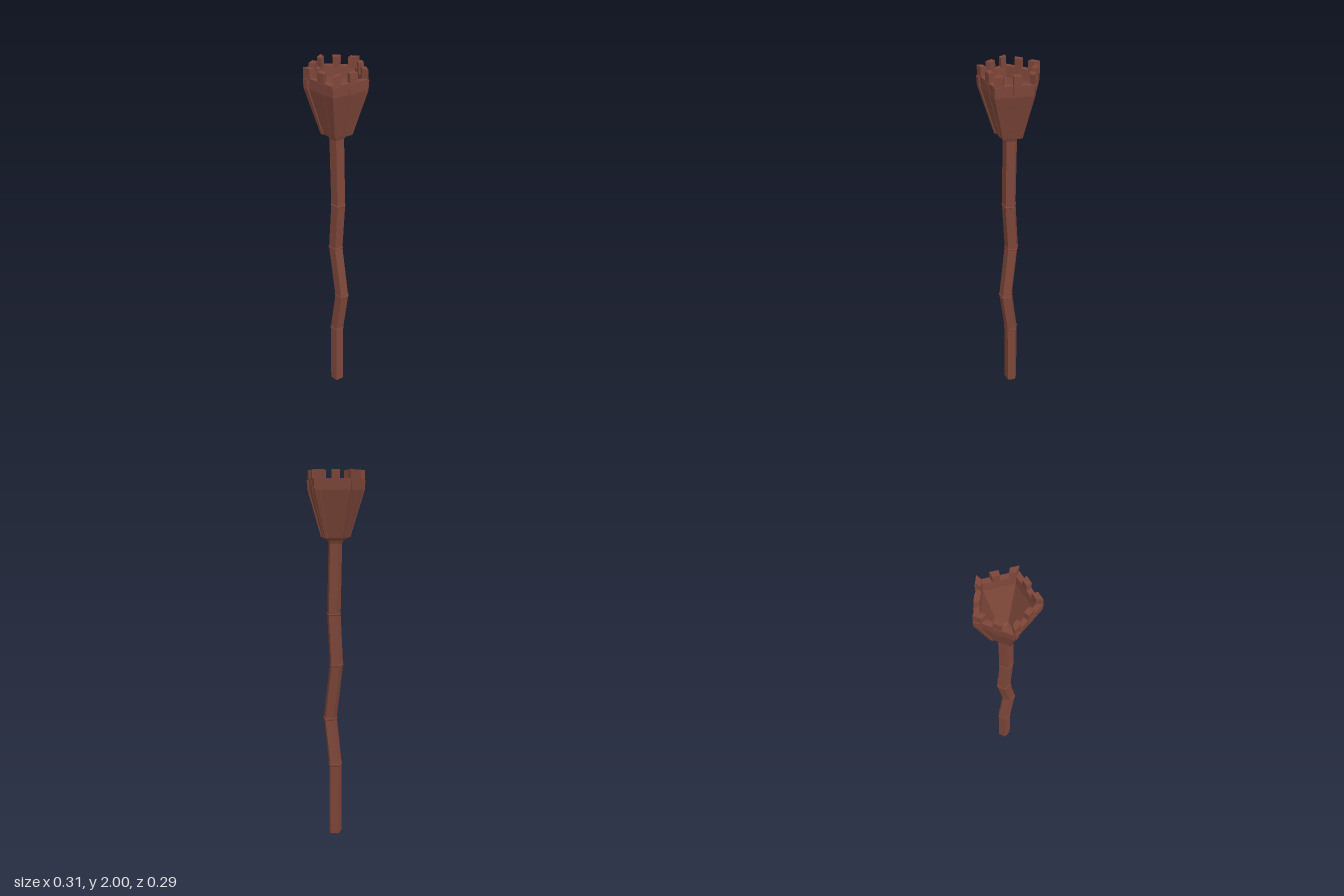
import * as THREE from 'three';

const CZ = 0.012; // centre line of the five-sided body
const SIDES = 5;

// Solid through equal-sized rings of points (bottom to top), capped at both ends
function loft(rings) {
  const n = rings[0].length, pos = [], index = [];
  rings.forEach(r => r.forEach(p => pos.push(...p)));
  for (let j = 0; j < rings.length - 1; j++) {
    for (let i = 0; i < n; i++) {
      const a = j * n + i, b = j * n + (i + 1) % n;
      index.push(a, b, b + n, a, b + n, a + n);
    }
  }
  const top = (rings.length - 1) * n;
  for (let i = 1; i < n - 1; i++) {
    index.push(0, i + 1, i, top, top + i, top + i + 1);
  }
  const g = new THREE.BufferGeometry();
  g.setAttribute('position', new THREE.Float32BufferAttribute(pos, 3));
  g.setIndex(index);
  const flat = g.toNonIndexed();
  flat.computeVertexNormals();
  return flat;
}

// Pentagon corner k, starting at the front right-hand corner and turning toward +x
function corner(k, r, y, x = 0) {
  const a = (-36 + 72 * k) * Math.PI / 180;
  return [x + r * Math.sin(a), y, CZ + r * Math.cos(a)];
}
const pentagon = (x, y, r) => Array.from({ length: SIDES }, (_, k) => corner(k, r, y, x));

// Point at fraction u along side k of a pentagon
function onSide(k, u, r, y) {
  const a = corner(k, r, y), b = corner(k + 1, r, y);
  return a.map((v, i) => v + (b[i] - v) * u);
}

// Slat lying on side k between fractions u0 and u1; levels are [y, outer radius, inner radius]
function slat(k, u0, u1, levels) {
  return loft(levels.map(([y, ro, ri]) => [
    onSide(k, u0, ro, y), onSide(k, u1, ro, y), onSide(k, u1, ri, y), onSide(k, u0, ri, y),
  ]));
}

export function createModel() {
  const wood = new THREE.MeshStandardMaterial({ color: 0x7d4639, flatShading: true });
  wood.name = 'reddish brown wood';
  const model = new THREE.Group();
  model.name = 'torch';
  const add = (parent, name, geometry) => {
    const m = new THREE.Mesh(geometry, wood);
    m.name = name;
    parent.add(m);
    return m;
  };

  // Crooked handle
  const handle = new THREE.Group();
  handle.name = 'handle';
  model.add(handle);
  const bends = [[0, 0], [0, 0.41], [0.037, 0.67], [-0.008, 0.98], [0.01, 1.255], [0, 1.645]];
  add(handle, 'shaft', loft(bends.map(([x, y]) => pentagon(x, y, 0.038))));
  bends.slice(1, -1).forEach(([x, y]) => {
    add(handle, 'joint', loft([
      pentagon(x, y - 0.006, 0.038), pentagon(x, y - 0.003, 0.041),
      pentagon(x, y + 0.003, 0.041), pentagon(x, y + 0.006, 0.038),
    ]));
  });

  // Hollow flared cup: outside wall, rim, then inside wall down to the sunken floor
  const head = new THREE.Group();
  head.name = 'head';
  model.add(head);
  const profile = [
    [0.036, 1.625], [0.045, 1.645], [0.074, 1.657], [0.078, 1.665], [0.154, 1.9], [0.157, 1.955],
    [0.127, 1.955], [0.122, 1.9], [0.042, 1.675], [0.02, 1.66], [0, 1.645],
  ].map(([r, y]) => new THREE.Vector2(r, y));
  const cup = add(head, 'cup', new THREE.LatheGeometry(profile, SIDES, Math.PI));
  cup.position.z = CZ;

  // Staves and battlement teeth, repeated round the five sides
  const stave = out => [
    [1.66, 0.076 + out, 0.07], [1.9, 0.154 + out, 0.145], [1.95, 0.157 + out, 0.145],
  ];
  const tooth = [[1.95, 0.157, 0.126], [2, 0.157, 0.126]];
  for (let k = 0; k < SIDES; k++) {
    add(head, 'cornerStave', slat(k, 0.03, 0.17, stave(0.007)));
    add(head, 'middleStave', slat(k, 0.48, 0.7, stave(0.003)));
    add(head, 'cornerTooth', slat(k, 0, 0.22, tooth));
    add(head, 'middleTooth', slat(k, 0.48, 0.7, tooth));
  }
  return model;
}
